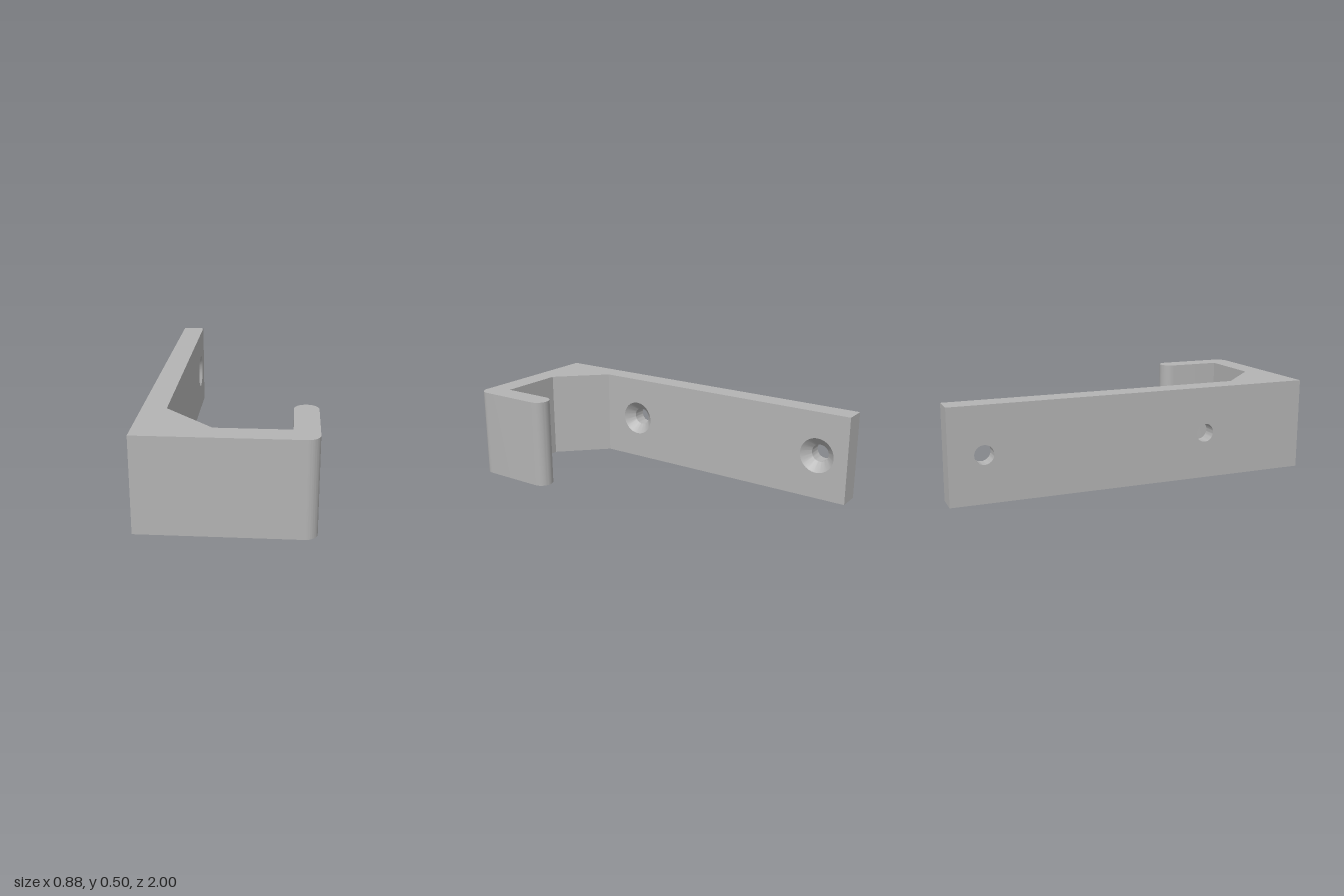
import * as THREE from 'three';
import { toCreasedNormals } from 'three/addons/utils/BufferGeometryUtils.js';

const HEIGHT = 0.5;
const BACK = -0.4375; // wall side of the mounting plate
const INNER = -0.3125; // countersunk side of the mounting plate
const ROUND = 0.0625;
const HOLES_Z = [0.4, -0.82];

// Hook outline seen from above, drawn with y = -z
function hookProfile() {
  const s = new THREE.Shape();
  s.moveTo(BACK, -1);
  s.lineTo(0.375, -1);
  s.absarc(0.375, -0.9375, ROUND, -Math.PI / 2, 0);
  s.lineTo(0.4375, -0.5875);
  s.absarc(0.375, -0.5875, ROUND, 0, Math.PI);
  s.lineTo(0.3125, -0.875);
  s.lineTo(-0.0625, -0.875);
  s.lineTo(INNER, -0.625);
  s.lineTo(INNER, 1);
  s.lineTo(BACK, 1);
  s.closePath();
  return s;
}

// Drops the triangles lying in the plate's two broad faces, which are drilled separately
function withoutPlateFaces(geometry) {
  const p = geometry.attributes.position;
  const kept = [];
  for (let i = 0; i < p.count; i += 3) {
    const flat = [BACK, INNER].some((x) => [0, 1, 2].every((k) => Math.abs(p.getX(i + k) - x) < 1e-5));
    if (flat) continue;
    for (let k = 0; k < 3; k++) kept.push(p.getX(i + k), p.getY(i + k), p.getZ(i + k));
  }
  const g = new THREE.BufferGeometry();
  g.setAttribute('position', new THREE.Float32BufferAttribute(kept, 3));
  return g;
}

// Broad plate face with screw holes; side is +1 for facing +x, -1 for facing -x
function drilledFace(x, zEnd, radius, side) {
  const u = (z) => -side * z;
  const s = new THREE.Shape();
  s.moveTo(u(-1), 0);
  s.lineTo(u(zEnd), 0);
  s.lineTo(u(zEnd), HEIGHT);
  s.lineTo(u(-1), HEIGHT);
  s.closePath();
  for (const z of HOLES_Z) {
    s.holes.push(new THREE.Path().absarc(u(z), HEIGHT / 2, radius, 0, Math.PI * 2, true));
  }
  return new THREE.ShapeGeometry(s, 24).rotateY(side * Math.PI / 2).translate(x, 0, 0);
}

export function createModel() {
  const model = new THREE.Group();
  model.name = 'wallHook';
  const grey = new THREE.MeshStandardMaterial({ color: 0xb3b3b3 });
  grey.name = 'grey';
  const add = (name, geometry) => {
    const mesh = new THREE.Mesh(geometry, grey);
    mesh.name = name;
    model.add(mesh);
    return mesh;
  };

  // Hook body: plate edges, gusset, arm and rounded lip
  const body = new THREE.ExtrudeGeometry(hookProfile(), { depth: HEIGHT, bevelEnabled: false, curveSegments: 12 });
  body.rotateX(-Math.PI / 2);
  add('hookBody', toCreasedNormals(withoutPlateFaces(body), 0.5));

  // Broad faces of the mounting plate
  add('plateInnerFace', drilledFace(INNER, 0.625, 0.1, 1));
  add('plateBackFace', drilledFace(BACK, 1, 0.05, -1));

  // Countersunk screw holes, surfaces facing inwards
  const bore = new THREE.LatheGeometry([
    new THREE.Vector2(0.1, INNER),
    new THREE.Vector2(0.05, INNER - 0.05),
    new THREE.Vector2(0.05, BACK),
  ], 48).rotateZ(-Math.PI / 2);
  const boreGeometry = toCreasedNormals(bore, 0.5);
  HOLES_Z.forEach((z, i) => {
    add(['frontScrewHole', 'rearScrewHole'][i], boreGeometry).position.set(0, HEIGHT / 2, z);
  });

  return model;
}
